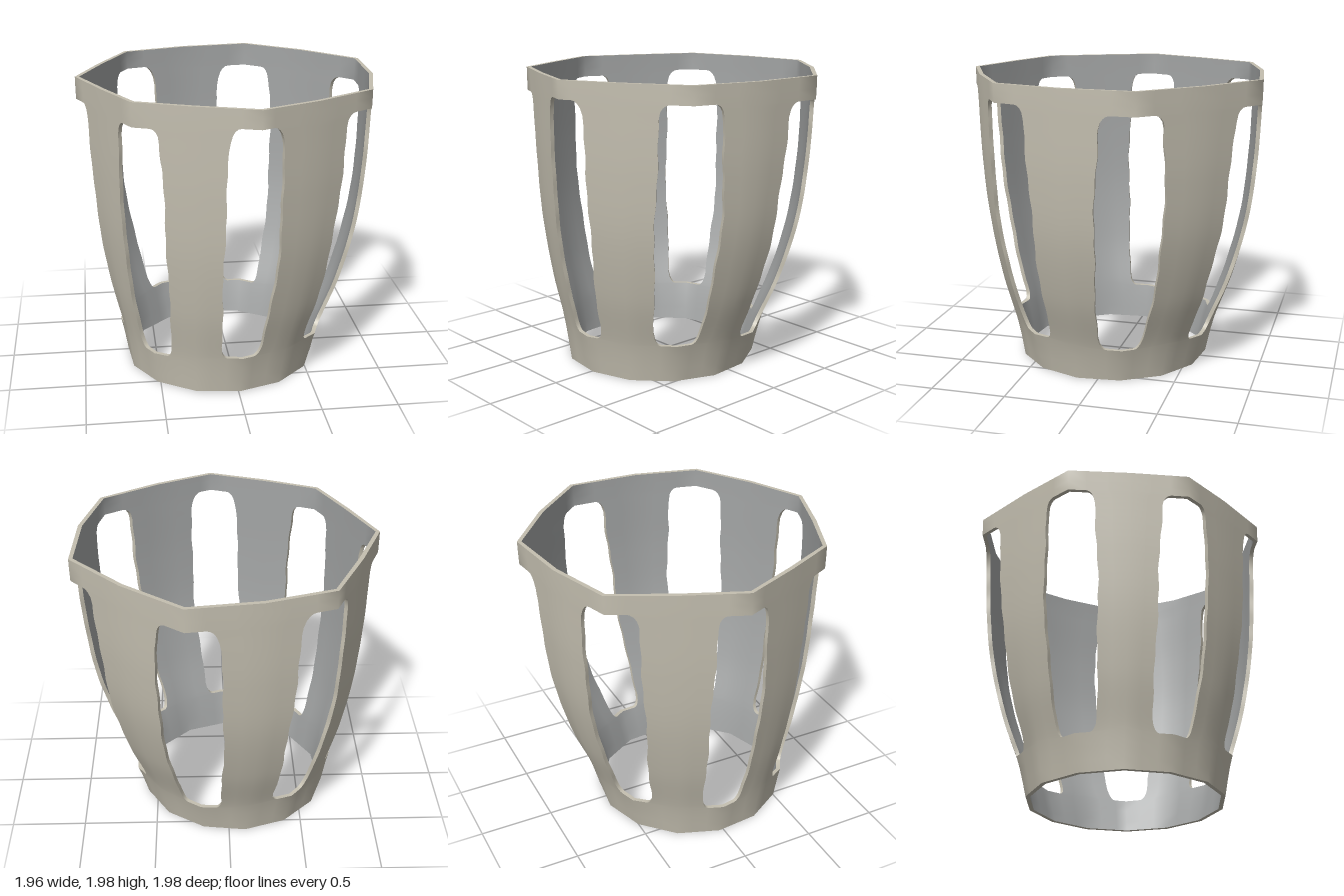
import * as THREE from 'three';
import { toCreasedNormals } from 'three/addons/utils/BufferGeometryUtils.js';

const HEIGHT = 1.98, WALL = 0.028, SIDES = 7;
const AXIS = { x: -0.05, z: 0.055 };
const WINDOW_BOTTOM = 0.25, WINDOW_TOP = 1.845, CORNER = 0.09;
const DEG = Math.PI / 180;

// Rim radius at the 14 corners: strong corners and pillar middles alternate
const RIM = [1.095, 1.03, 1.107, 1.015, 1.037, 0.92, 0.948, 0.84, 0.888, 0.83, 0.935, 0.897, 1.03, 0.998];
// Half width of each window on its two sides, as a share of the sector
const WIDTHS = [[0.40, 0.43], [0.39, 0.45], [0.42, 0.43], [0.34, 0.43], [0.42, 0.43], [0.40, 0.43], [0.40, 0.43]];
// Each window sits at a slightly different height
const SHIFTS = [-0.022, -0.015, 0.015, 0.016, -0.02, -0.012, 0.012];

// Bulging wall profile: 0 at the round foot, 1 at the seven-cornered rim
const PROFILE = new THREE.SplineCurve([
  [0, 0], [0.25, 0.17], [0.6, 0.53], [1, 0.81], [1.4, 0.94], [1.8, 0.99], [HEIGHT, 1],
].map(([x, y]) => new THREE.Vector2(x, y)));
const SAMPLES = PROFILE.getPoints(120);

function bulge(y) {
  const i = SAMPLES.findIndex((p) => p.x >= y - 1e-6);
  if (i <= 0) return i < 0 ? 1 : 0;
  const a = SAMPLES[i - 1], b = SAMPLES[i];
  return a.y + (b.y - a.y) * (y - a.x) / (b.x - a.x);
}

// Corner k of 14, twisting slightly from foot to rim
function corner(k, y, inset) {
  const t = bulge(y);
  const angle = (-73 + k * 360 / 14 + 3.3 * (1 - t)) * DEG;
  const r = 0.65 + (RIM[k] - 0.65) * t - inset;
  return new THREE.Vector3(AXIS.x + r * Math.cos(angle), y, AXIS.z + r * Math.sin(angle));
}

// Point on the wall of a sector; u runs -1..1 from pillar to pillar
function wallPoint(sector, u, y, inset) {
  const k = sector * 2;
  const odd = corner((k + (u < 0 ? 13 : 1)) % 14, y, inset);
  return corner(k, y, inset).lerp(odd, Math.abs(u));
}

// Half width of a window, with rounded ends and uneven, hand-cut edges
function halfWidth(sector, side, y) {
  const yy = THREE.MathUtils.clamp(y, WINDOW_BOTTOM, WINDOW_TOP);
  const gap = Math.min(yy - WINDOW_BOTTOM, WINDOW_TOP - yy);
  const d = Math.max(0, 1 - gap / CORNER);
  const phase = sector * 1.9 + side * 0.8;
  const wave = 0.012 * Math.sin(9 * yy + phase) + 0.008 * Math.sin(27 * yy + phase * 2);
  return WIDTHS[sector][side] + 0.09 * Math.sin(Math.PI * yy / 2) + wave
    - 0.14 * (1 - Math.sqrt(1 - d * d));
}

// Heights of the rows, denser at the rounded window ends
function rowHeights() {
  const rows = [0, 0.08, 0.17];
  const ends = [0, 0.005, 0.02, 0.045, CORNER];
  ends.forEach((e) => rows.push(WINDOW_BOTTOM + e));
  const a = WINDOW_BOTTOM + CORNER, b = WINDOW_TOP - CORNER, n = 28;
  for (let i = 1; i < n; i++) rows.push(a + (b - a) * i / n);
  ends.reverse().forEach((e) => rows.push(WINDOW_TOP - e));
  rows.push(1.91, HEIGHT);
  return rows;
}

function makeMesh(name, positions, material) {
  const geometry = new THREE.BufferGeometry();
  geometry.setAttribute('position', new THREE.Float32BufferAttribute(positions, 3));
  const mesh = new THREE.Mesh(toCreasedNormals(geometry, 0.95), material);
  mesh.name = name;
  return mesh;
}

export function createModel() {
  const clay = new THREE.MeshStandardMaterial({ color: 0xc4bfb0 });
  clay.name = 'warm beige';
  const lining = new THREE.MeshStandardMaterial({ color: 0xa2a4a4 });
  lining.name = 'neutral grey';

  const outer = [], inner = [], edges = [];
  const quad = (list, a, b, c, d) => {
    for (const p of [a, b, c, a, c, d]) list.push(p.x, p.y, p.z);
  };
  const rows = rowHeights();
  const last = rows.length - 1;
  const rowAt = (height) => rows.findIndex((y) => Math.abs(y - height) < 1e-6);
  const sill = rowAt(WINDOW_BOTTOM), lintel = rowAt(WINDOW_TOP);

  for (let s = 0; s < SIDES; s++) {
    const grid = (inset) => rows.map((y, r) => {
      const l = halfWidth(s, 0, y), w = halfWidth(s, 1, y);
      const move = r === 0 || r === last ? 0 : SHIFTS[s];
      return [-1, -(1 + l) / 2, -l, 0, w, (1 + w) / 2, 1].map((u) =>
        wallPoint(s, u, y + move * Math.min(1, 2 * (1 - Math.abs(u))), inset));
    });
    const out = grid(0), inn = grid(WALL);

    for (let r = 0; r < last; r++) {
      const open = r >= sill && r < lintel;
      for (let c = 0; c < 6; c++) {
        if (open && (c === 2 || c === 3)) continue;
        quad(outer, out[r][c], out[r + 1][c], out[r + 1][c + 1], out[r][c + 1]);
        quad(inner, inn[r][c], inn[r][c + 1], inn[r + 1][c + 1], inn[r + 1][c]);
      }
      // Window jambs, facing into the opening
      if (open) {
        quad(edges, out[r][2], out[r + 1][2], inn[r + 1][2], inn[r][2]);
        quad(edges, out[r][4], inn[r][4], inn[r + 1][4], out[r + 1][4]);
      }
    }
    // Up-facing and down-facing edges: rim, foot, window sill and lintel
    const ledge = (r, c, up) => {
      const a = out[r][c], b = out[r][c + 1], ia = inn[r][c], ib = inn[r][c + 1];
      if (up) quad(edges, a, ia, ib, b);
      else quad(edges, a, b, ib, ia);
    };
    for (let c = 0; c < 6; c++) {
      ledge(last, c, true);
      ledge(0, c, false);
    }
    for (const c of [2, 3]) {
      ledge(sill, c, true);
      ledge(lintel, c, false);
    }
  }

  const group = new THREE.Group();
  group.name = 'openwork basket';
  group.add(
    makeMesh('outerWall', outer, clay),
    makeMesh('innerWall', inner, lining),
    makeMesh('rimAndWindowEdges', edges, clay),
  );
  return group;
}
